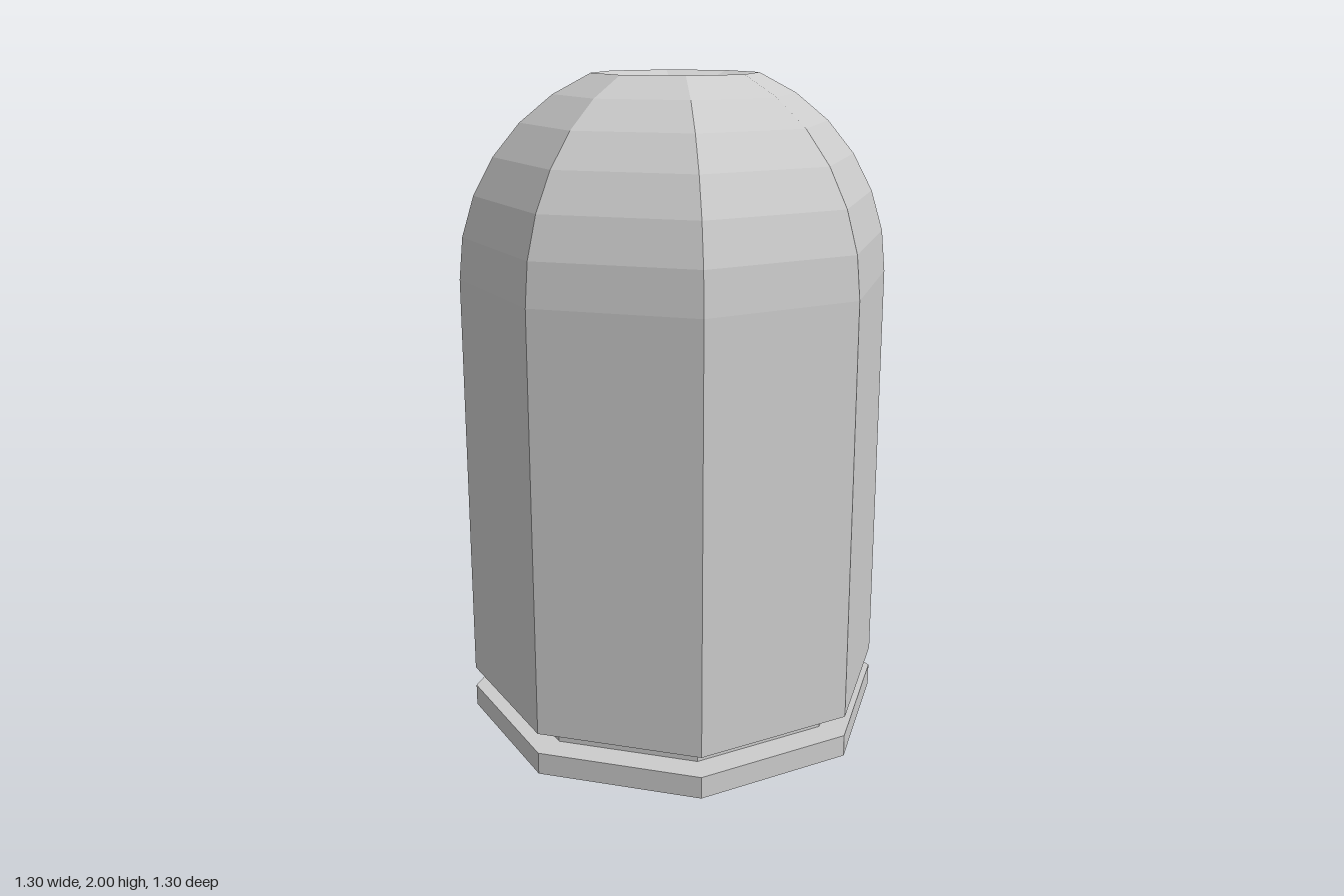
import * as THREE from 'three';

const SIDES = 8;
const RADIUS = 0.65;
const SHOULDER = 1.4; // height where the dome begins

export function createModel() {
  const model = new THREE.Group();
  model.name = 'bullet';
  const material = new THREE.MeshStandardMaterial({ color: 0xcccccc, flatShading: true });

  // Turned eight-sided part from [radius, height] pairs, listed bottom to top
  function turned(name, profile) {
    const points = profile.map(([r, y]) => new THREE.Vector2(r, y));
    const mesh = new THREE.Mesh(new THREE.LatheGeometry(points, SIDES), material);
    mesh.name = name;
    model.add(mesh);
  }

  // Rim plate with closed underside
  turned('baseRim', [[0, 0], [RADIUS, 0], [RADIUS, 0.067], [0.56, 0.067]]);

  // Recessed groove between rim and casing
  turned('groove', [[0.56, 0.067], [0.56, 0.13]]);

  // Straight casing running into a domed nose on a circular arc
  const profile = [[0.56, 0.13], [RADIUS, 0.13]];
  const rim = SHOULDER + RADIUS * Math.sin((6 * Math.PI) / 16);
  for (let i = 0; i <= 8; i++) {
    const angle = (i * Math.PI) / 16;
    const y = SHOULDER + RADIUS * Math.sin(angle);
    // The tip of the dome is pushed inward to form a dimple
    profile.push([i === 8 ? 0 : RADIUS * Math.cos(angle), i > 6 ? 2 * rim - y : y]);
  }
  turned('casingAndNose', profile);

  return model;
}
